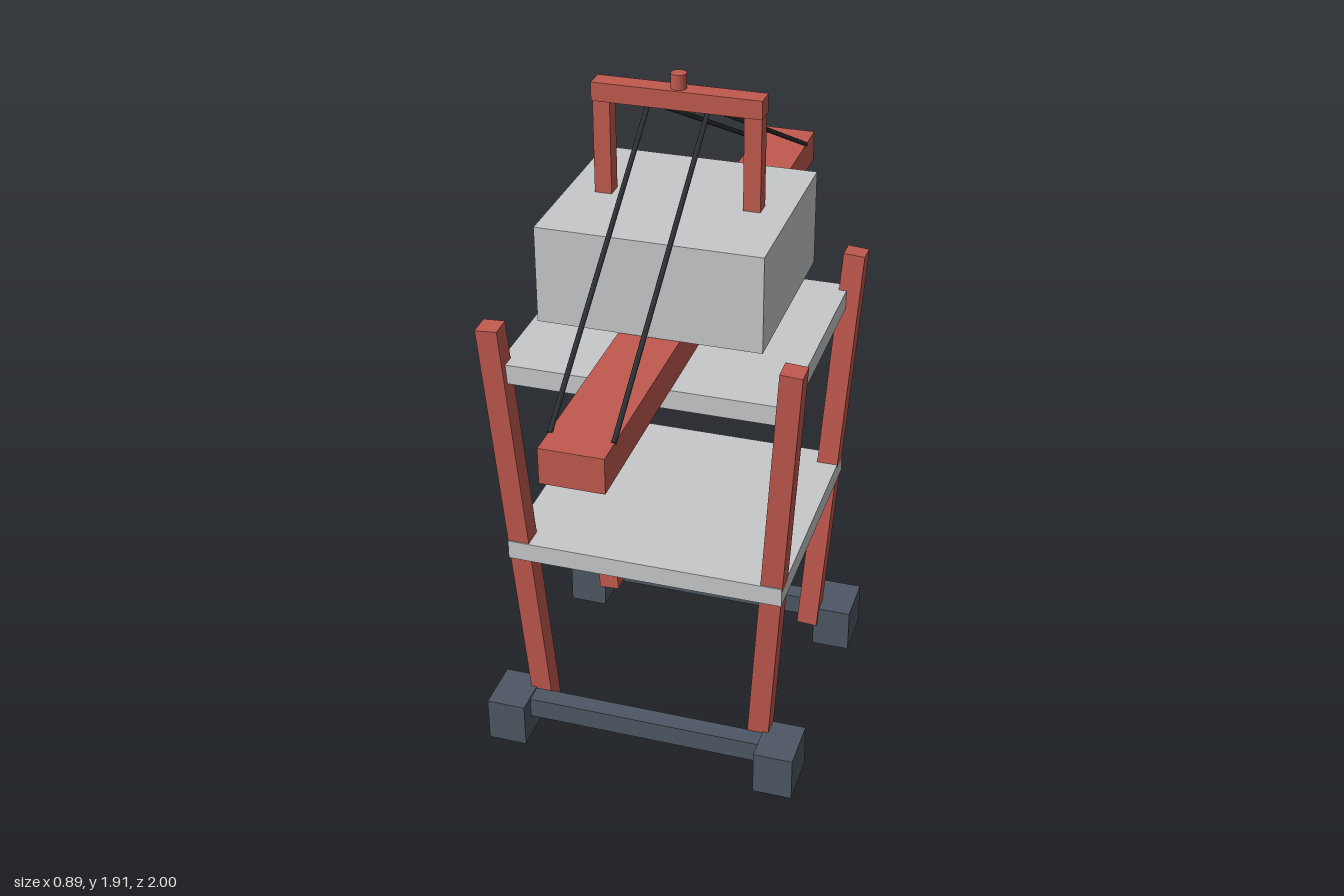
import * as THREE from 'three';

const mat = (name, color) => {
  const m = new THREE.MeshStandardMaterial({ color });
  m.name = name;
  return m;
};

export function createModel() {
  const crane = new THREE.Group();
  crane.name = 'portalCrane';
  const red = mat('red paint', 0xc0594e);
  const grey = mat('light grey', 0xc6c8c9);
  const slate = mat('dark slate', 0x4d5763);
  const black = mat('cable black', 0x2b2f34);
  const glass = mat('amber glass', 0xc9b06c);
  const Z = 0.158; // centre of the portal along the boom

  const add = (name, geometry, material, x, y, z) => {
    const mesh = new THREE.Mesh(geometry, material);
    mesh.name = name;
    mesh.position.set(x, y, z);
    crane.add(mesh);
    return mesh;
  };
  // Box given by its ranges on each axis
  const box = (name, material, x0, x1, y0, y1, z0, z1) =>
    add(name, new THREE.BoxGeometry(x1 - x0, y1 - y0, z1 - z0), material,
      (x0 + x1) / 2, (y0 + y1) / 2, (z0 + z1) / 2);
  // Aligns a y-axis geometry with the line from a to b
  const strut = (name, makeGeometry, material, a, b) => {
    const dir = b.clone().sub(a);
    const mid = a.clone().add(b).multiplyScalar(0.5);
    const mesh = add(name, makeGeometry(dir.length()), material, mid.x, mid.y, mid.z);
    mesh.quaternion.setFromUnitVectors(new THREE.Vector3(0, 1, 0), dir.normalize());
  };
  const v = (x, y, z) => new THREE.Vector3(x, y, z);

  // Feet, splayed legs and sill beams
  for (const sz of [-1, 1]) {
    const footZ = Z + sz * 0.345;
    for (const sx of [-1, 1]) {
      box('foot', slate, sx * 0.39 - 0.055, sx * 0.39 + 0.055, 0, 0.13, footZ - 0.075, footZ + 0.075);
      strut('leg', (l) => new THREE.BoxGeometry(0.06, l, 0.06), red,
        v(sx * 0.317, 0.075, Z + sz * 0.288), v(sx * 0.401, 1.308, Z + sz * 0.345));
    }
    box('sillBeam', slate, -0.38, 0.38, 0.065, 0.125, footZ - 0.027, footZ + 0.027);
  }

  // Platforms
  for (const y of [0.59, 1.145]) {
    box('platform', grey, -0.385, 0.385, y, y + 0.055, Z - 0.348, Z + 0.348);
  }

  // Boom and machinery house
  box('boom', red, -0.082, 0.082, 1.2, 1.296, -1, 1);
  box('machineryHouse', grey, -0.3, 0.3, 1.298, 1.565, -0.11, 0.426);

  // Mast frame with top cap
  for (const s of [-1, 1]) {
    box('mastPost', red, s * 0.2 - 0.023, s * 0.2 + 0.023, 1.565, 1.82, Z - 0.023, Z + 0.023);
  }
  box('mastCrossbar', red, -0.225, 0.225, 1.82, 1.87, Z - 0.028, Z + 0.028);
  add('mastCap', new THREE.CylinderGeometry(0.021, 0.021, 0.04, 16), red, 0, 1.89, Z);

  // Stay cables to both boom ends
  for (const x of [-0.079, 0.079]) {
    for (const z of [-0.9, 0.925]) {
      strut('stayCable', (l) => new THREE.CylinderGeometry(0.007, 0.007, l, 8), black,
        v(x, 1.825, Z), v(x, 1.294, z));
    }
  }

  // Operator cab hung below the boom, with its window
  box('operatorCab', slate, -0.083, 0.083, 1.07, 1.198, -0.75, -0.54);
  box('cabWindow', glass, -0.055, 0.055, 1.09, 1.148, -0.757, -0.749);
  return crane;
}
